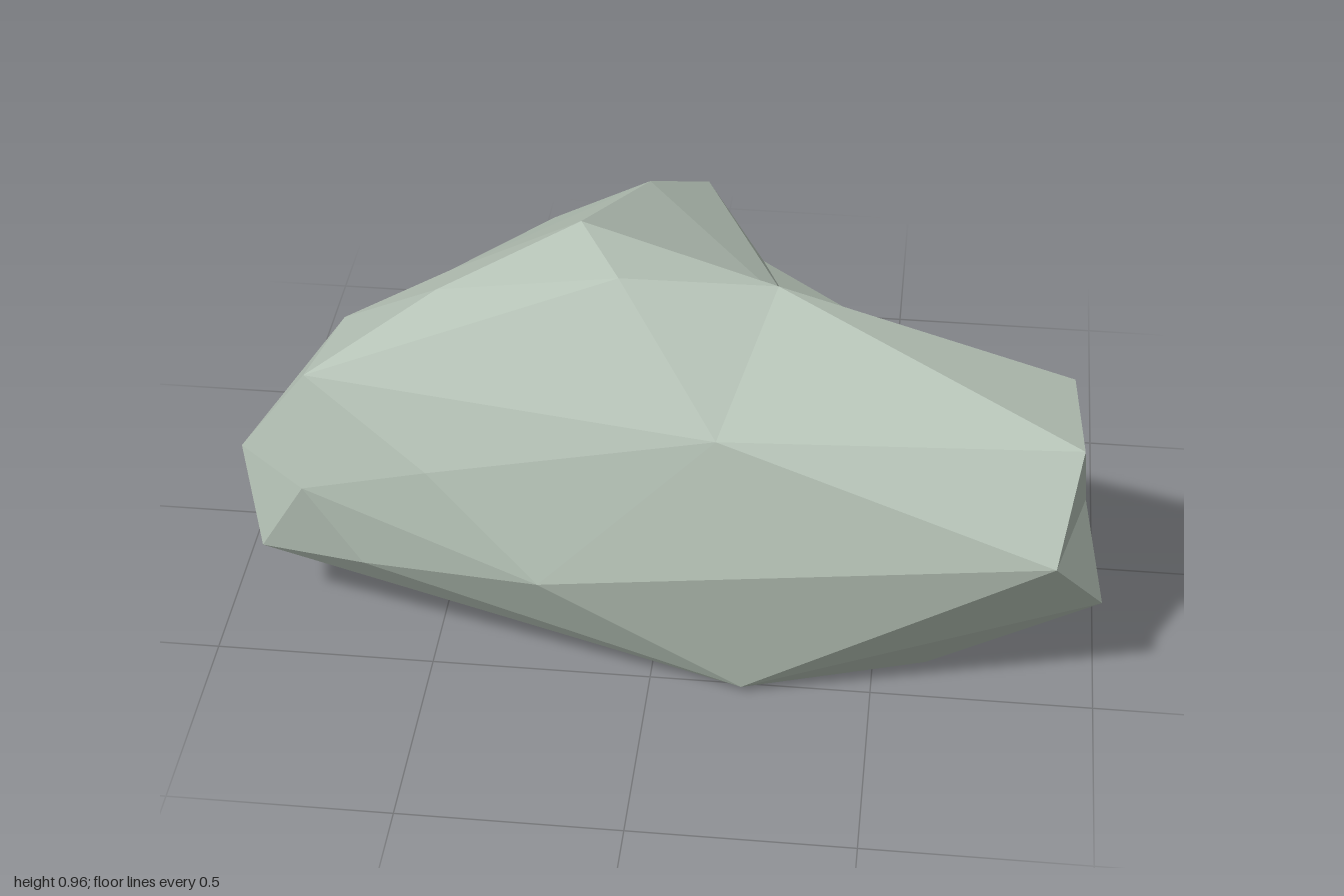
import * as THREE from 'three';
import { ConvexGeometry } from 'three/addons/geometries/ConvexGeometry.js';

// Corners of the boulder: x, y, z
const CORNERS = [
  // crown
  -0.195, 0.955, 0.09, -0.085, 0.96, 0.315, 0.255, 0.92, 0.25, -0.083, 0.844, -0.27,
  -0.5, 0.845, 0.23, -0.505, 0.77, 0.04, -0.745, 0.655, 0.085, -0.77, 0.717, 0.405,
  // front
  0.147, 0.7, 0.53, -0.49, 0.55, 0.51, -0.78, 0.45, 0.465, -0.24, 0.315, 0.58, -0.65, 0.262, 0.48,
  // +x end
  0.93, 0.69, 0.467, 0.885, 0.48, 0.613, 0.95, 0.45, 0.32, 0.997, 0.294, 0.485,
  0.91, 0.678, 0.187, 0.8, 0.46, 0.005, 0.9, 0.235, 0.195,
  // hollow behind the crown
  0.275, 0.692, 0.005, 0.18, 0.598, -0.335,
  // back
  0.035, 0.723, -0.477, -0.19, 0.536, -0.613, -0.33, 0.645, -0.4, -0.64, 0.552, -0.09,
  -0.62, 0.355, -0.335, -0.01, 0.313, -0.47, 0.525, 0.293, -0.117,
  // -x end
  -0.905, 0.38, -0.015, -0.96, 0.418, 0.28, -1, 0.267, 0.1, -0.907, 0.208, 0.375,
  // underside
  0.62, 0, 0.382, 0.21, 0.02, 0.535, -0.826, 0.107, 0.08, -0.36, 0.172, -0.38,
  -0.468, 0.097, -0.113, 0.24, 0.11, -0.07, -0.345, 0.068, 0.09,
];

function boulderGeometry() {
  const corners = [];
  for (let i = 0; i < CORNERS.length; i += 3) corners.push(new THREE.Vector3().fromArray(CORNERS, i));

  // Inflate the corners towards a ball so that hollow ones also join the skin
  const ball = corners.map((p) => {
    const q = new THREE.Vector3(p.x / 0.95, (p.y - 0.45) / 0.5, (p.z - 0.05) / 0.55);
    return q.setLength(Math.pow(q.length(), 0.2));
  });

  // Wrap the ball, then move every corner back to its real place
  const geometry = new ConvexGeometry(ball);
  const position = geometry.attributes.position;
  const v = new THREE.Vector3();
  for (let i = 0; i < position.count; i++) {
    v.fromBufferAttribute(position, i);
    let nearest = 0;
    ball.forEach((q, k) => {
      if (q.distanceToSquared(v) < ball[nearest].distanceToSquared(v)) nearest = k;
    });
    const p = corners[nearest];
    position.setXYZ(i, p.x, p.y, p.z);
  }
  geometry.computeVertexNormals(); // unshared corners give flat facets
  return geometry;
}

export function createModel() {
  const stone = new THREE.MeshStandardMaterial({ color: 0xb7c4b8 });
  stone.name = 'paleGreyGreenStone';
  stone.flatShading = true;

  const boulder = new THREE.Mesh(boulderGeometry(), stone);
  boulder.name = 'boulder';

  const group = new THREE.Group();
  group.name = 'rock';
  group.add(boulder);
  return group;
}
